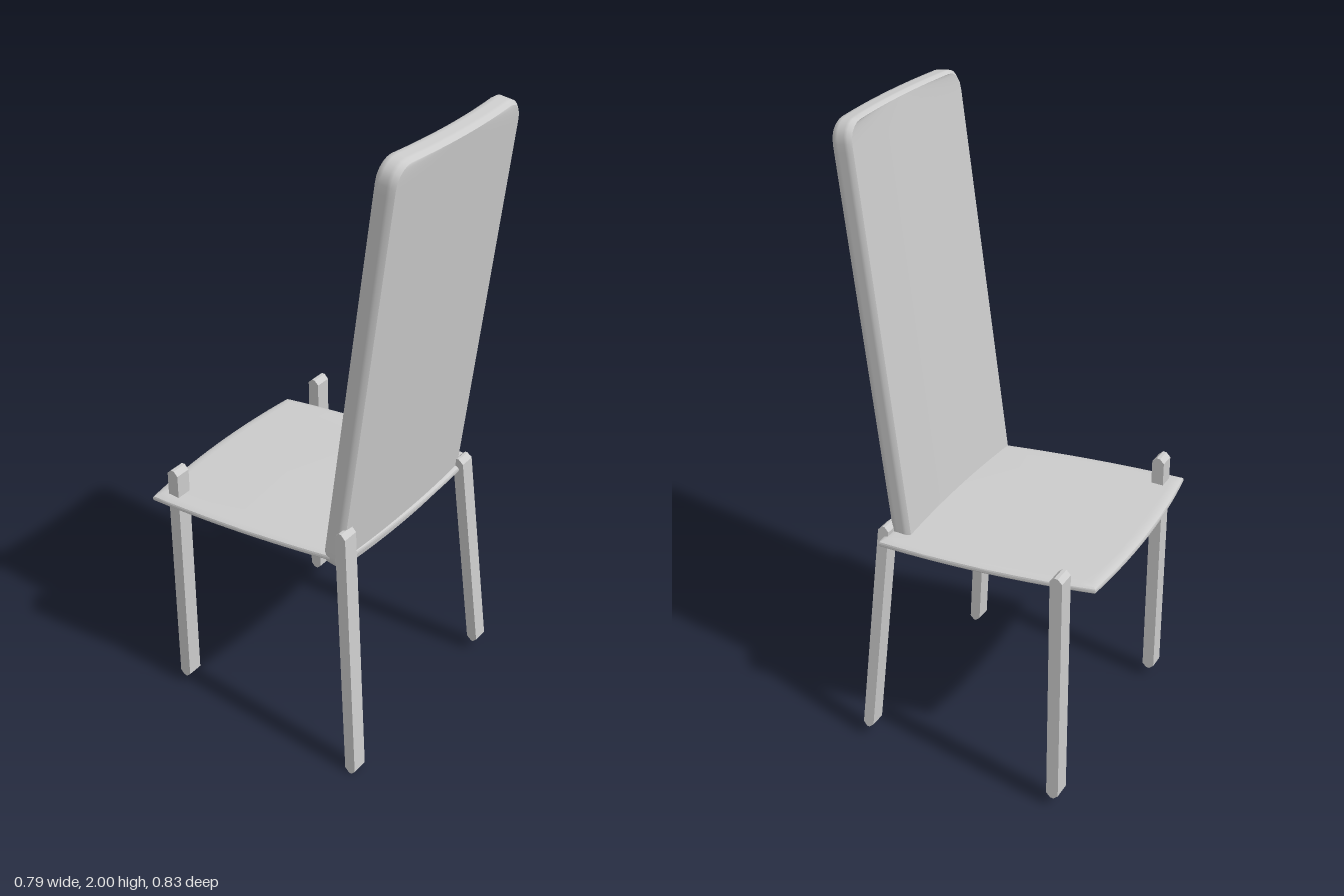
import * as THREE from 'three';
import { toCreasedNormals } from 'three/addons/utils/BufferGeometryUtils.js';

const lerp = THREE.MathUtils.lerp;

// Moves every vertex of a geometry by a rule.
function warp(geometry, rule) {
  const pos = geometry.attributes.position;
  const p = new THREE.Vector3();
  for (let i = 0; i < pos.count; i++) {
    p.fromBufferAttribute(pos, i);
    rule(p);
    pos.setXYZ(i, p.x, p.y, p.z);
  }
  geometry.computeVertexNormals();
  return geometry;
}

// How far a rounded corner of radius r pulls the side in, at distance d from the end.
const cornerInset = (d, r) => (d >= r ? 0 : r - Math.sqrt(r * r - (r - d) ** 2));

// Tall leaning back panel, slightly bowed, with rounded corners and softened rims.
function backrestGeometry() {
  const height = 1.28, thick = 0.062;
  return warp(new THREE.BoxGeometry(1, 1, 1, 16, 36, 6), (p) => {
    const s = 0.5 - 0.5 * Math.cos(Math.PI * (p.y + 0.5));
    const d = s * height;
    const rim = Math.abs(p.z) > 0.45 ? 0.008 : 0;
    const inset = rim + cornerInset(d, 0.03) + cornerInset(height - d, 0.055);
    const left = lerp(-0.308, -0.278, s) + inset;
    const right = lerp(0.305, 0.3, s) - inset;
    const u = p.x + 0.5;
    const across = p.z * thick;
    const bow = -0.012 * (2 * p.x) ** 2;
    p.set(
      lerp(left, right, u),
      0.718 + d - 0.117 * across + rim * (1 - 2 * s),
      lerp(0.235, 0.38, s) + across + bow
    );
  });
}

// Thin seat with gently bulging sides and a knife-like bevelled rim.
function seatGeometry() {
  const shape = new THREE.Shape();
  shape.moveTo(-0.395, 0.383);
  shape.quadraticCurveTo(-0.375, 0.07, -0.297, -0.262);
  shape.quadraticCurveTo(0.04, -0.295, 0.368, -0.266);
  shape.quadraticCurveTo(0.36, 0.08, 0.28, 0.402);
  shape.quadraticCurveTo(-0.06, 0.437, -0.395, 0.383);
  const g = new THREE.ExtrudeGeometry(shape, {
    depth: 0.006, curveSegments: 14,
    bevelThickness: 0.011, bevelSize: 0.03, bevelOffset: -0.03, bevelSegments: 4,
  });
  g.translate(0, 0, -0.003);
  g.rotateX(-Math.PI / 2);
  return toCreasedNormals(g, 0.5);
}

// Straight leg between two centre points, with chamfered ends.
function legGeometry(top, foot, width, depth) {
  const h = top[1] - foot[1], a = depth / 2, c = 0.014;
  const shape = new THREE.Shape([
    [-a, c], [-a + c, 0], [a - c, 0], [a, c],
    [a, h - c], [a - c, h], [-a + c, h], [-a, h - c],
  ].map(([x, y]) => new THREE.Vector2(x, y)));
  const g = new THREE.ExtrudeGeometry(shape, { depth: width, bevelEnabled: false });
  g.translate(0, 0, -width / 2);
  g.rotateY(Math.PI / 2);
  return warp(g, (p) => {
    const t = p.y / h;
    p.x += lerp(foot[0], top[0], t);
    p.y += foot[1];
    p.z += lerp(foot[2], top[2], t);
  });
}

export function createModel() {
  const model = new THREE.Group();
  model.name = 'chair';
  const material = new THREE.MeshStandardMaterial({ color: 0xcccccc });
  const add = (name, geometry) => {
    const mesh = new THREE.Mesh(geometry, material);
    mesh.name = name;
    model.add(mesh);
    return mesh;
  };

  add('backrest', backrestGeometry());
  add('seat', seatGeometry()).position.y = 0.75;

  // Legs: name, top centre, foot centre, width, depth
  const legs = [
    ['rightPanelLeg', [-0.298, 0.87, 0.267], [-0.333, 0.005, 0.336], 0.052, 0.036],
    ['leftPanelLeg', [0.308, 0.79, 0.268], [0.363, 0.045, 0.328], 0.05, 0.036],
    ['rightOuterLeg', [-0.336, 0.855, -0.328], [-0.336, 0.04, -0.33], 0.05, 0.039],
    ['leftOuterLeg', [0.354, 0.833, -0.328], [0.367, 0.04, -0.332], 0.054, 0.039],
  ];
  for (const [name, ...spec] of legs) add(name, legGeometry(...spec));

  return model;
}
